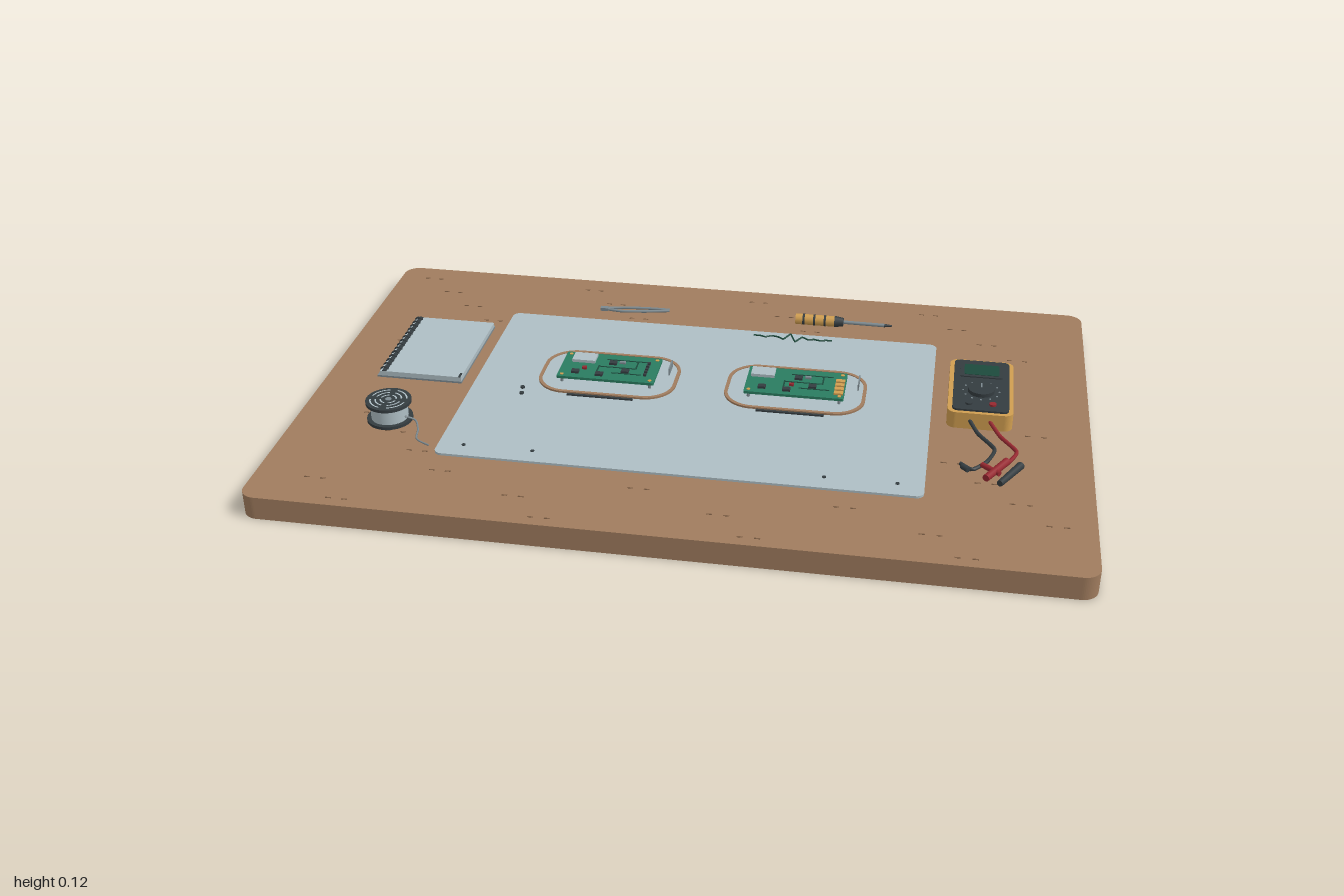
import * as THREE from 'three';

const mat = (name, color) => {
  const m = new THREE.MeshStandardMaterial({ color });
  m.name = name;
  return m;
};

export function createModel() {
  const wood = mat('wood', 0xa07c5e), paleGrey = mat('paleGrey', 0xaebec4), dark = mat('charcoal', 0x343c40);
  const green = mat('boardGreen', 0x2a7c60), deepGreen = mat('deepGreen', 0x1c4a3c), amber = mat('amber', 0xd09e50);
  const red = mat('red', 0x962830), steel = mat('steel', 0x7c898f), grain = mat('grain', 0x7a5c44);
  const model = new THREE.Group();
  model.name = 'workbench';

  const group = (name, x = 0, z = 0, parent = model) => {
    const g = new THREE.Group();
    g.name = name;
    g.position.set(x, 0, z);
    parent.add(g);
    return g;
  };
  const add = (parent, name, geo, m, x = 0, y = 0, z = 0) => {
    const mesh = new THREE.Mesh(geo, m);
    mesh.name = name;
    mesh.position.set(x, y, z);
    parent.add(mesh);
    return mesh;
  };
  const box = (p, name, m, x, y, z, w, h, d) => add(p, name, new THREE.BoxGeometry(w, h, d), m, x, y, z);
  const cyl = (p, name, m, x, y, z, r, h, n = 24) => add(p, name, new THREE.CylinderGeometry(r, r, h, n), m, x, y, z);

  // Rounded rectangle outline
  const outline = (Type, w, d, r) => {
    const s = new Type(), a = w / 2 - r, b = d / 2 - r;
    s.absarc(a, b, r, 0, Math.PI / 2);
    s.absarc(-a, b, r, Math.PI / 2, Math.PI);
    s.absarc(-a, -b, r, Math.PI, Math.PI * 1.5);
    s.absarc(a, -b, r, Math.PI * 1.5, Math.PI * 2);
    s.closePath();
    return s;
  };
  // Flat rounded slab resting at y, optionally hollowed to a rim
  const slab = (p, name, m, x, y, z, w, h, d, r, rim = 0) => {
    const s = outline(THREE.Shape, w, d, r);
    if (rim) s.holes.push(outline(THREE.Path, w - 2 * rim, d - 2 * rim, r - rim));
    const g = new THREE.ExtrudeGeometry(s, { depth: h, bevelEnabled: false, curveSegments: 8 });
    return add(p, name, g.rotateX(-Math.PI / 2), m, x, y, z);
  };
  const tube = (p, name, m, pts, r, tension = 0.3) => {
    const c = new THREE.CatmullRomCurve3(pts.map(q => new THREE.Vector3(...q)), false, 'catmullrom', tension);
    return add(p, name, new THREE.TubeGeometry(c, pts.length * 8, r, 8), m);
  };
  // Straight rod between two points, tapering from ra to rb
  const rod = (p, name, m, a, b, ra, rb = ra) => {
    const A = new THREE.Vector3(...a), B = new THREE.Vector3(...b), dir = B.clone().sub(A);
    const mesh = add(p, name, new THREE.CylinderGeometry(rb, ra, dir.length(), 12), m);
    mesh.position.copy(A).add(B).multiplyScalar(0.5);
    mesh.quaternion.setFromUnitVectors(new THREE.Vector3(0, 1, 0), dir.normalize());
    return mesh;
  };

  // Tabletop with rows of short grain marks
  slab(model, 'tabletop', wood, 0, 0, 0, 2, 0.06, 1.28, 0.04);
  const grains = group('grainMarks');
  for (let row = 0; row < 16; row++) {
    for (let k = 0; k < 4; k++) {
      const x = -0.9 + k * 0.49 + (row * 0.083) % 0.37, z = -0.575 + row * 0.079;
      if (Math.abs(x) < 0.88 && Math.abs(x) > 0.62 || Math.abs(z) > 0.4) {
        for (const s of [-1, 1]) box(grains, 'grainMark', grain, x + s * 0.02, 0.0602, z, 0.014, 0.001, 0.004);
      }
    }
  }

  // Work mat and its corner studs
  slab(model, 'workMat', paleGrey, 0, 0.06, 0, 1.2, 0.006, 0.77, 0.02);
  for (const x of [-0.535, -0.36, 0.36, 0.535]) cyl(model, 'matStud', dark, x, 0.0665, 0.338, 0.005, 0.003, 10);
  for (const [x, z] of [[-0.465, 0.035], [-0.46, 0.065]]) cyl(model, 'screw', dark, x, 0.068, z, 0.006, 0.005, 10);

  // Two circuit boards, each over a rimmed tray
  const boards = [[-0.2525, -0.2525], [0.245, 0.245]];
  boards.forEach(([x], i) => {
    const g = group(i ? 'rightBoard' : 'leftBoard', x, -0.07);
    slab(g, 'tray', paleGrey, 0, 0.066, 0, 0.35, 0.003, 0.21, 0.07);
    slab(g, 'trayRim', wood, 0, 0.066, 0, 0.368, 0.005, 0.228, 0.08, 0.009);
    slab(g, 'circuitBoard', green, 0, 0.083, 0, 0.26, 0.007, 0.136, 0.004);
    for (const sx of [-1, 1]) for (const sz of [-1, 1]) {
      cyl(g, 'standoff', steel, sx * 0.118, 0.076, sz * 0.056, 0.004, 0.015, 10);
      cyl(g, 'boardScrew', amber, sx * 0.118, 0.0905, sz * 0.056, 0.005, 0.002, 10);
    }
    box(g, 'shieldedModule', paleGrey, i ? -0.09 : -0.075, 0.094, -0.034, 0.062, 0.008, 0.042);
    // traces, chips and small components
    for (const [tx, tz, w, d] of [[0.02, 0.0, 0.1, 0.004], [0.05, 0.03, 0.08, 0.004], [0.04, -0.04, 0.11, 0.004],
      [-0.03, 0.02, 0.004, 0.05], [0.07, -0.02, 0.004, 0.04]]) box(g, 'trace', deepGreen, tx, 0.0904, tz, w, 0.001, d);
    for (const [cx, cz] of [[-0.085, 0.04], [0.005, -0.02], [0.045, 0.02], [-0.02, 0.045]]) {
      box(g, 'chip', dark, cx, 0.093, cz, 0.02, 0.006, 0.016);
    }
    box(g, 'capacitor', red, i ? -0.01 : -0.065, 0.093, 0.018, 0.012, 0.006, 0.01);
    box(g, 'resistor', steel, 0.03, 0.093, -0.025, 0.016, 0.005, 0.009);
    if (i) for (let k = 0; k < 4; k++) box(g, 'edgeContact', amber, 0.115, 0.0925, -0.02 + k * 0.021, 0.024, 0.005, 0.014);
    else for (let k = 0; k < 5; k++) box(g, 'headerPin', dark, 0.1, 0.093, -0.03 + k * 0.015, 0.008, 0.006, 0.008);
    // side indicator and front marker strip
    box(g, 'sideIndicator', steel, 0.164, 0.103, 0, 0.003, 0.02, 0.05);
    box(g, 'markerStrip', dark, -0.002, 0.068, 0.122, 0.175, 0.004, 0.007);
  });

  // Hovering signal trace
  const wave = [0, 0, 0.006, -0.004, 0, 0.012, -0.022, 0.022, -0.008, 0.004, 0, 0.005, 0, 0];
  tube(model, 'signalTrace', deepGreen, wave.map((dz, i) => [0.105 + i * 0.0165, 0.112, -0.275 + dz]), 0.0022, 0);

  // Spiral notebook
  const book = group('notebook', -0.75, -0.1325);
  box(book, 'backCover', steel, 0, 0.0625, 0, 0.232, 0.005, 0.325);
  box(book, 'pages', paleGrey, 0.003, 0.071, 0, 0.224, 0.012, 0.32);
  box(book, 'bindingStrip', dark, -0.097, 0.0775, 0, 0.012, 0.002, 0.32);
  for (let k = 0; k < 14; k++) {
    add(book, 'bindingRing', new THREE.TorusGeometry(0.01, 0.0025, 6, 14), dark, -0.1, 0.073, -0.146 + k * 0.0225);
  }
  box(book, 'bookmark', dark, 0.11, 0.0775, 0.15, 0.006, 0.002, 0.02);

  // Solder spool with a loose tail
  const spool = group('solderSpool', -0.76, 0.235);
  for (const y of [0.064, 0.113]) cyl(spool, 'flange', dark, 0, y, 0, 0.058, 0.008, 36);
  cyl(spool, 'woundSolder', paleGrey, 0, 0.0885, 0, 0.047, 0.042, 32);
  for (const r of [0.018, 0.031, 0.044]) for (let k = 0; k < 4; k++) {
    const arc = new THREE.RingGeometry(r, r + 0.004, 10, 1, k * Math.PI / 2 + 0.2, 1.15).rotateX(-Math.PI / 2);
    add(spool, 'flangeGroove', arc, paleGrey, 0, 0.1176, 0);
  }
  cyl(spool, 'hub', steel, 0, 0.1175, 0, 0.008, 0.002, 16);
  tube(spool, 'solderTail', steel, [[0.045, 0.08, 0.015], [0.07, 0.068, 0.01], [0.088, 0.063, 0.045],
    [0.1, 0.063, 0.09], [0.14, 0.063, 0.115]], 0.0025, 0.5);

  // Multimeter
  const meter = group('multimeter', 0.7225, -0.0985);
  slab(meter, 'case', amber, 0, 0.06, 0, 0.165, 0.045, 0.283, 0.022);
  slab(meter, 'facePlate', dark, 0, 0.105, 0, 0.142, 0.005, 0.262, 0.014);
  slab(meter, 'displayFrame', dark, 0, 0.11, -0.075, 0.11, 0.003, 0.075, 0.006);
  slab(meter, 'display', deepGreen, 0, 0.113, -0.075, 0.09, 0.001, 0.055, 0.004);
  cyl(meter, 'dial', dark, 0, 0.115, 0.032, 0.034, 0.01, 32);
  box(meter, 'dialPointer', steel, 0, 0.1205, 0.02, 0.004, 0.002, 0.022);
  for (let k = 0; k < 12; k++) {
    const a = k * Math.PI / 6;
    cyl(meter, 'dialMark', steel, Math.sin(a) * 0.046, 0.1105, 0.032 + Math.cos(a) * 0.046, 0.0025, 0.002, 8);
  }
  for (const [x, m] of [[-0.03, dark], [0.03, red]]) cyl(meter, 'socket', m, x, 0.112, 0.1, 0.009, 0.006, 16);

  // Test leads and probes
  const leads = group('testLeads');
  tube(leads, 'blackLead', dark, [[0.695, 0.085, 0.035], [0.72, 0.07, 0.08], [0.762, 0.065, 0.14], [0.745, 0.065, 0.2],
    [0.71, 0.065, 0.243], [0.68, 0.065, 0.22]], 0.005);
  tube(leads, 'redLead', red, [[0.745, 0.085, 0.035], [0.775, 0.07, 0.085], [0.816, 0.065, 0.145], [0.792, 0.066, 0.208]], 0.005);
  rod(leads, 'redProbe', red, [0.792, 0.07, 0.2], [0.742, 0.07, 0.285], 0.01, 0.009);
  rod(leads, 'redClip', red, [0.732, 0.07, 0.225], [0.775, 0.07, 0.26], 0.007);
  rod(leads, 'blackProbe', dark, [0.825, 0.071, 0.215], [0.775, 0.071, 0.305], 0.01, 0.008);
  rod(leads, 'blackClip', dark, [0.7, 0.067, 0.25], [0.685, 0.067, 0.235], 0.007);

  // Screwdriver
  const driver = group('screwdriver', 0, -0.463);
  rod(driver, 'handle', amber, [0.2, 0.075, 0], [0.31, 0.075, 0], 0.015);
  for (const x of [0.22, 0.25, 0.28]) rod(driver, 'gripBand', dark, [x, 0.075, 0], [x + 0.006, 0.075, 0], 0.0156);
  rod(driver, 'collar', dark, [0.31, 0.075, 0], [0.335, 0.075, 0], 0.016, 0.012);
  rod(driver, 'shaft', steel, [0.335, 0.075, 0], [0.45, 0.073, -0.002], 0.005);
  rod(driver, 'tip', dark, [0.45, 0.073, -0.002], [0.472, 0.073, -0.003], 0.005, 0.002);

  // Tweezers
  const tweezers = group('tweezers', -0.262, -0.46);
  for (const s of [-1, 1]) {
    tube(tweezers, 'arm', steel, [[-0.097, 0.066, 0.007], [-0.04, 0.066, 0.004 + s * 0.011],
      [0.03, 0.066, s * 0.01 - 0.004], [0.097, 0.066, -0.012 + s * 0.003]], 0.004);
  }
  box(tweezers, 'joint', steel, -0.09, 0.066, 0.007, 0.022, 0.009, 0.014);

  return model;
}
